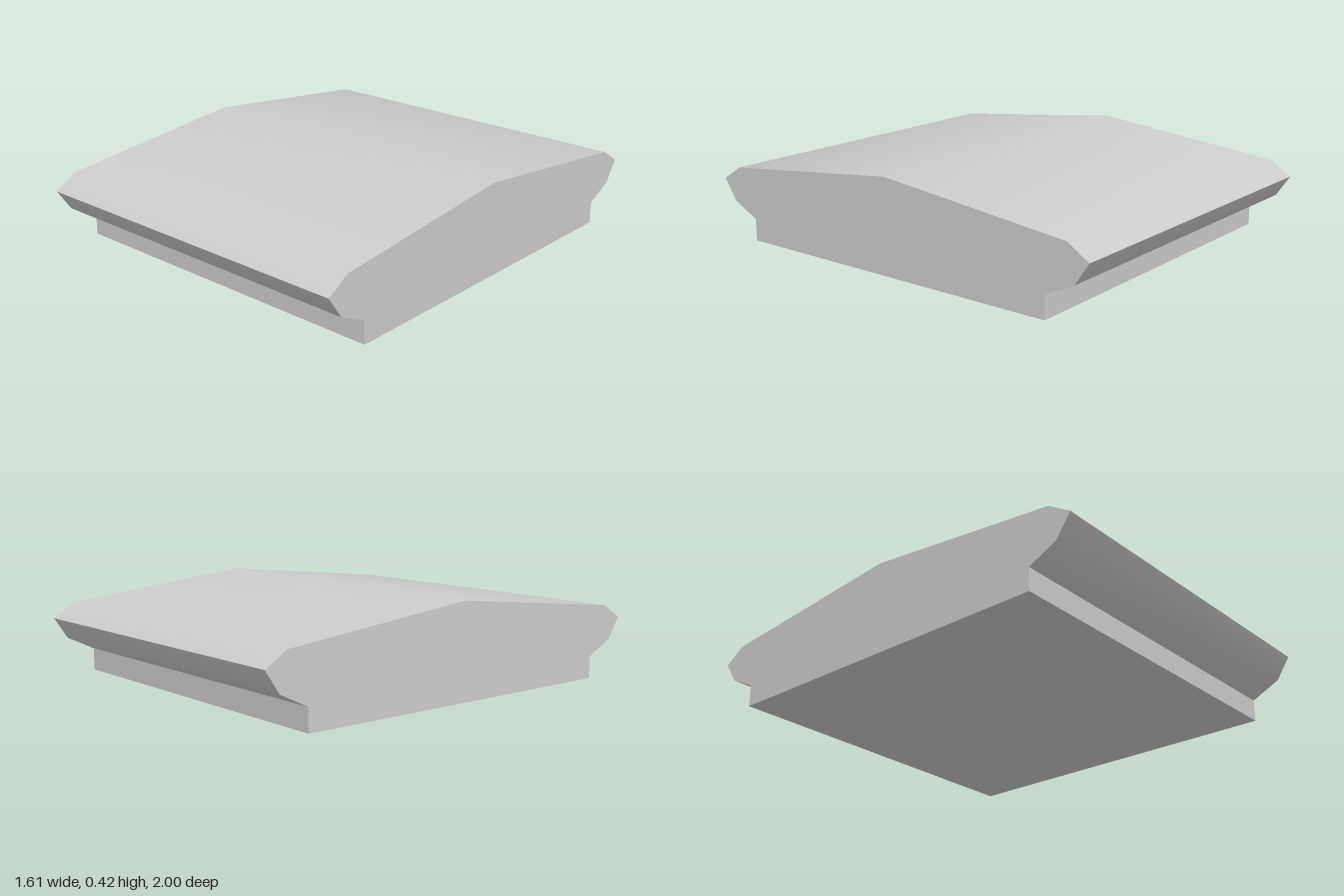
import * as THREE from 'three';
import { toCreasedNormals } from 'three/addons/utils/BufferGeometryUtils.js';

const WIDTH = 1.61;

export function createModel() {
  const grey = new THREE.MeshStandardMaterial({ color: 0xcccccc });
  grey.name = 'light grey';

  // half of the cross-section, from the foot up to the ridge: [z, y]
  const half = [[0.805, 0], [0.805, 0.1], [0.935, 0.163], [1, 0.26], [0.9, 0.323]];
  const mirrored = half.map(([z, y]) => [-z, y]).reverse();
  const profile = [...half, [0, 0.42], ...mirrored];
  const shape = new THREE.Shape(profile.map(([z, y]) => new THREE.Vector2(z, y)));

  // extruded across the width; gentle bends shade smooth, sharp edges stay sharp
  const extruded = new THREE.ExtrudeGeometry(shape, { depth: WIDTH, bevelEnabled: false });
  extruded.translate(0, 0, -WIDTH / 2).rotateY(Math.PI / 2);

  const slab = new THREE.Mesh(toCreasedNormals(extruded, 0.7), grey);
  slab.name = 'ridgedSlab';

  const model = new THREE.Group();
  model.name = 'ridgedBlock';
  model.add(slab);
  return model;
}
